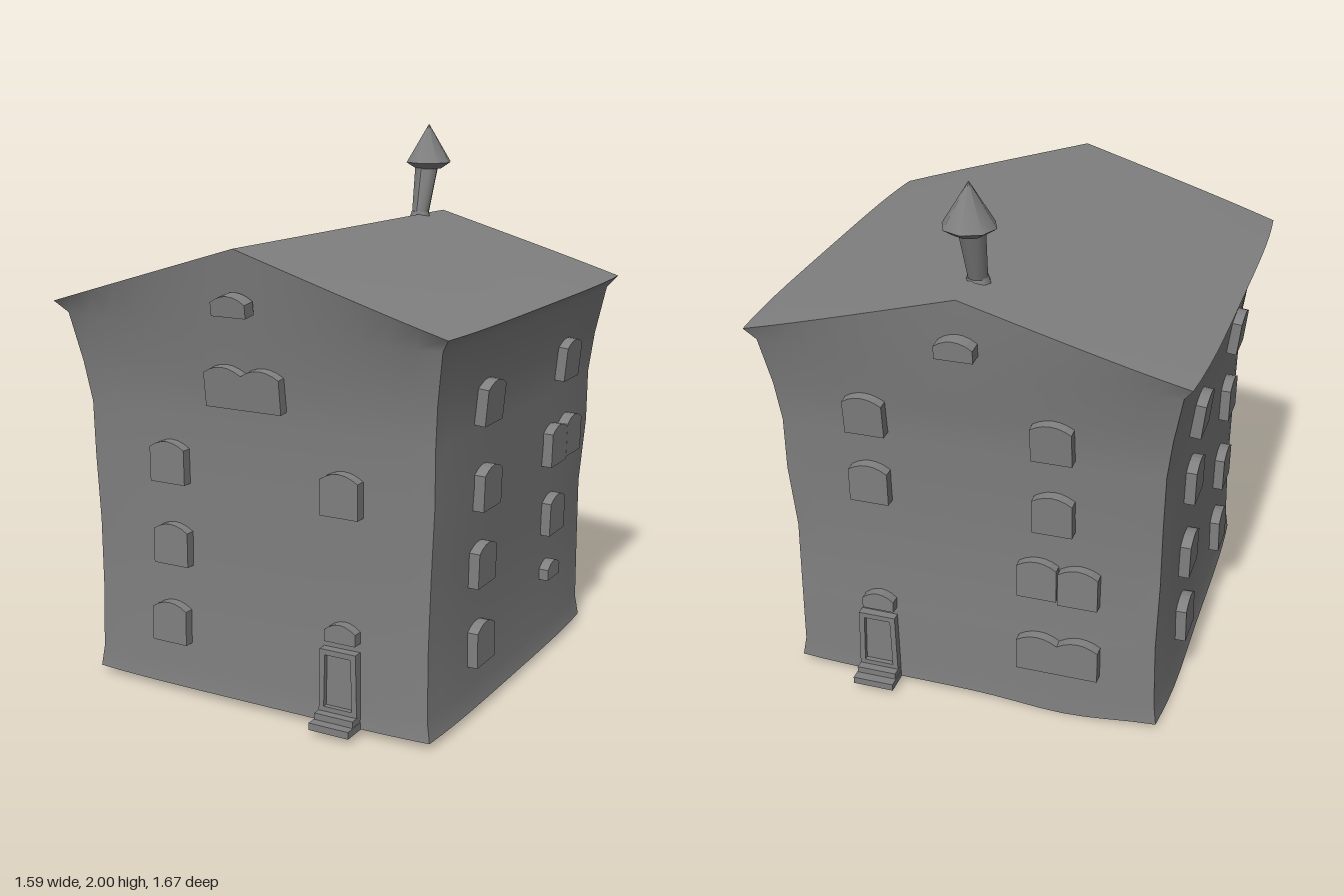
import * as THREE from 'three';

const plaster = new THREE.MeshStandardMaterial({ color: 0x808080, side: THREE.DoubleSide });
plaster.name = 'grey plaster';

// Wavy wall profile: distance from the centre at each height, per side
const heights = [0.02, 0.1, 0.35, 0.6, 0.85, 1.05, 1.2, 1.38, 1.425];
const sides = [
  { name: 'front', out: [0.708, 0.7, 0.695, 0.69, 0.7, 0.7, 0.72, 0.75, 0.795] },
  { name: 'left', out: [0.705, 0.692, 0.69, 0.695, 0.71, 0.71, 0.725, 0.755, 0.797] },
  { name: 'back', out: [0.705, 0.7, 0.7, 0.685, 0.705, 0.71, 0.73, 0.765, 0.793] },
  { name: 'right', out: [0.705, 0.695, 0.69, 0.695, 0.7, 0.705, 0.725, 0.76, 0.797] },
];
const SEG = 16, EAVE = 1.425;
const ridgeY = (t) => 1.652 + 0.01 * t;
const inset = (row) => (row === heights.length - 1 ? 0.02 : 0.015);

// Sagging lower edge
const dip = (x, z, cx, cz) => Math.exp(-((x - cx) ** 2 + (z - cz) ** 2) / 0.05);
const groundY = (x, z) => 0.025 - 0.025 * Math.max(dip(x, z, -0.35, -0.7), dip(x, z, -0.7, -0.4));

function wallDepth(side, y) {
  let i = 0;
  while (i < heights.length - 2 && y > heights[i + 1]) i++;
  const f = Math.min(1, (y - heights[i]) / (heights[i + 1] - heights[i]));
  return THREE.MathUtils.lerp(sides[side].out[i], sides[side].out[i + 1], f);
}

// Surface through a grid of points
function grid(cols, rows, point) {
  const pos = [], index = [];
  for (let j = 0; j <= rows; j++)
    for (let i = 0; i <= cols; i++) pos.push(...point(i, j));
  for (let j = 0; j < rows; j++)
    for (let i = 0; i < cols; i++) {
      const a = j * (cols + 1) + i, d = a + cols + 1;
      index.push(a, a + 1, d + 1, a, d + 1, d);
    }
  const g = new THREE.BufferGeometry();
  g.setAttribute('position', new THREE.Float32BufferAttribute(pos, 3));
  g.setIndex(index);
  g.computeVertexNormals();
  return g;
}

function add(parent, name, geometry, x = 0, y = 0, z = 0) {
  const m = new THREE.Mesh(geometry, plaster);
  m.name = name;
  m.position.set(x, y, z);
  parent.add(m);
  return m;
}

function wallGeometry(k) {
  const next = sides[(k + 1) % 4].out, prev = sides[(k + 3) % 4].out;
  const angle = k * Math.PI / 2, c = Math.cos(angle), s = Math.sin(angle);
  return grid(SEG, heights.length - 1, (i, j) => {
    const t = i / SEG * 2 - 1;
    const x = t * ((t > 0 ? next : prev)[j] - inset(j));
    const z = sides[k].out[j] - inset(j) * t ** 4;
    let y = heights[j];
    if (j === 0) y = groundY(x * c + z * s, z * c - x * s);
    if (j === heights.length - 1 && k % 2 === 0)
      y = THREE.MathUtils.lerp(ridgeY(k ? -1 : 1), EAVE, Math.abs(t));
    return [x, y, z];
  });
}

// Raised block with one or more shallow arches along its top
function blockGeometry(w, h, arches, depth) {
  const shape = new THREE.Shape();
  const step = w / arches, rise = 0.028;
  shape.moveTo(-w / 2, -h / 2);
  shape.lineTo(w / 2, -h / 2);
  shape.lineTo(w / 2, h / 2 - rise);
  for (let a = 0; a < arches; a++) {
    const x0 = w / 2 - a * step;
    shape.quadraticCurveTo(x0 - step / 2, h / 2 + rise * 0.8, x0 - step, h / 2 - rise);
  }
  return new THREE.ExtrudeGeometry(shape, { depth, bevelEnabled: false, curveSegments: 6 })
    .translate(0, 0, -0.015);
}

// u runs to the viewer's right along the wall
function addWindow(wall, k, u, y, w = 0.145, h = 0.155, arches = 1) {
  const m = add(wall, 'window', blockGeometry(w, h, arches, 0.052), u, y, wallDepth(k, y));
  m.rotation.x = Math.atan2(wallDepth(k, y + 0.08) - wallDepth(k, y - 0.08), 0.16) * 0.8;
}

function addDoor(wall, k, u) {
  const door = new THREE.Group();
  door.name = 'door';
  door.position.set(u, 0, wallDepth(k, 0.2));
  wall.add(door);
  const frame = new THREE.Shape();
  frame.moveTo(-0.075, 0.06).lineTo(0.075, 0.06).lineTo(0.07, 0.3).lineTo(-0.07, 0.3).closePath();
  const hole = new THREE.Path();
  hole.moveTo(-0.055, 0.09).lineTo(-0.05, 0.28).lineTo(0.05, 0.28).lineTo(0.055, 0.09).closePath();
  frame.holes.push(hole);
  add(door, 'doorFrame', new THREE.ExtrudeGeometry(frame, { depth: 0.045, bevelEnabled: false }), 0, 0, -0.015);
  add(door, 'doorLeaf', new THREE.BoxGeometry(0.11, 0.2, 0.02), 0, 0.185, 0.002);
  add(door, 'upperStep', new THREE.BoxGeometry(0.15, 0.025, 0.08), 0, 0.06, 0.02);
  add(door, 'lowerStep', new THREE.BoxGeometry(0.155, 0.026, 0.11), 0, 0.036, 0.04);
  addWindow(wall, k, u + 0.01, 0.367, 0.12, 0.07);
}

export function createModel() {
  const house = new THREE.Group();
  house.name = 'crookedHouse';

  // Walls
  const walls = sides.map((side, k) => {
    const g = new THREE.Group();
    g.name = side.name + 'Side';
    g.rotation.y = k * Math.PI / 2;
    house.add(g);
    add(g, side.name + 'Wall', wallGeometry(k));
    return g;
  });

  // Windows: [u, y, width, height, arches]
  const openings = [
    [[-0.33, 0.88], [-0.33, 0.573], [-0.34, 0.277], [0.365, 0.857],
      [0, 1.185, 0.3, 0.15, 2], [0, 1.48, 0.135, 0.075]],
    [[-0.35, 1.15], [-0.335, 0.845], [-0.333, 0.565], [-0.325, 0.27], [0.36, 1.168],
      [0.275, 0.853], [0.422, 0.862], [0.315, 0.57], [0.305, 0.347, 0.115, 0.07]],
    [[-0.36, 1.15], [-0.36, 0.87], [0.31, 1.15], [0.31, 0.86], [0.25, 0.575], [0.4, 0.565],
      [0.33, 0.27, 0.3, 0.15, 2], [0, 1.48, 0.135, 0.075]],
    [[-0.33, 1.13], [-0.33, 0.86], [-0.33, 0.55], [-0.33, 0.27],
      [0.32, 1.15], [0.3, 0.87], [0.3, 0.56], [0.3, 0.27]],
  ];
  openings.forEach((list, k) => list.forEach((o) => addWindow(walls[k], k, ...o)));

  // Doors with steps
  addDoor(walls[0], 0, 0.355);
  addDoor(walls[2], 2, -0.36);

  // Roof slopes, bulging slightly at the edges
  for (const dir of [-1, 1]) {
    add(house, dir > 0 ? 'leftRoofSlope' : 'rightRoofSlope', grid(SEG / 2, SEG, (i, j) => {
      const s = dir > 0 ? i / (SEG / 2) : i / (SEG / 2) - 1;
      const t = 1 - j / SEG * 2;
      const reach = t > 0 ? 0.795 : 0.793;
      return [s * (0.797 - 0.02 * t ** 4), THREE.MathUtils.lerp(ridgeY(t), EAVE, Math.abs(s)),
        t * (reach - 0.02 * s ** 4)];
    }));
  }

  // Leaning chimney with a pointed cap
  const chimney = new THREE.Group();
  chimney.name = 'chimney';
  house.add(chimney);
  add(chimney, 'chimneyCollar', new THREE.CylinderGeometry(0.036, 0.046, 0.03, 8), -0.012, 1.64, -0.602);
  const shaft = new THREE.CylinderGeometry(0.05, 0.034, 0.22, 8);
  const p = shaft.attributes.position;
  for (let i = 0; i < p.count; i++) p.setZ(i, p.getZ(i) - p.getY(i) * 0.29);
  shaft.computeVertexNormals();
  add(chimney, 'chimneyShaft', shaft, -0.012, 1.735, -0.63);
  add(chimney, 'chimneyCap', new THREE.ConeGeometry(0.094, 0.152, 8), -0.007, 1.924, -0.665);
  add(chimney, 'chimneyCapUnderside', new THREE.CylinderGeometry(0.094, 0.055, 0.025, 8), -0.007, 1.8355, -0.665);

  return house;
}
